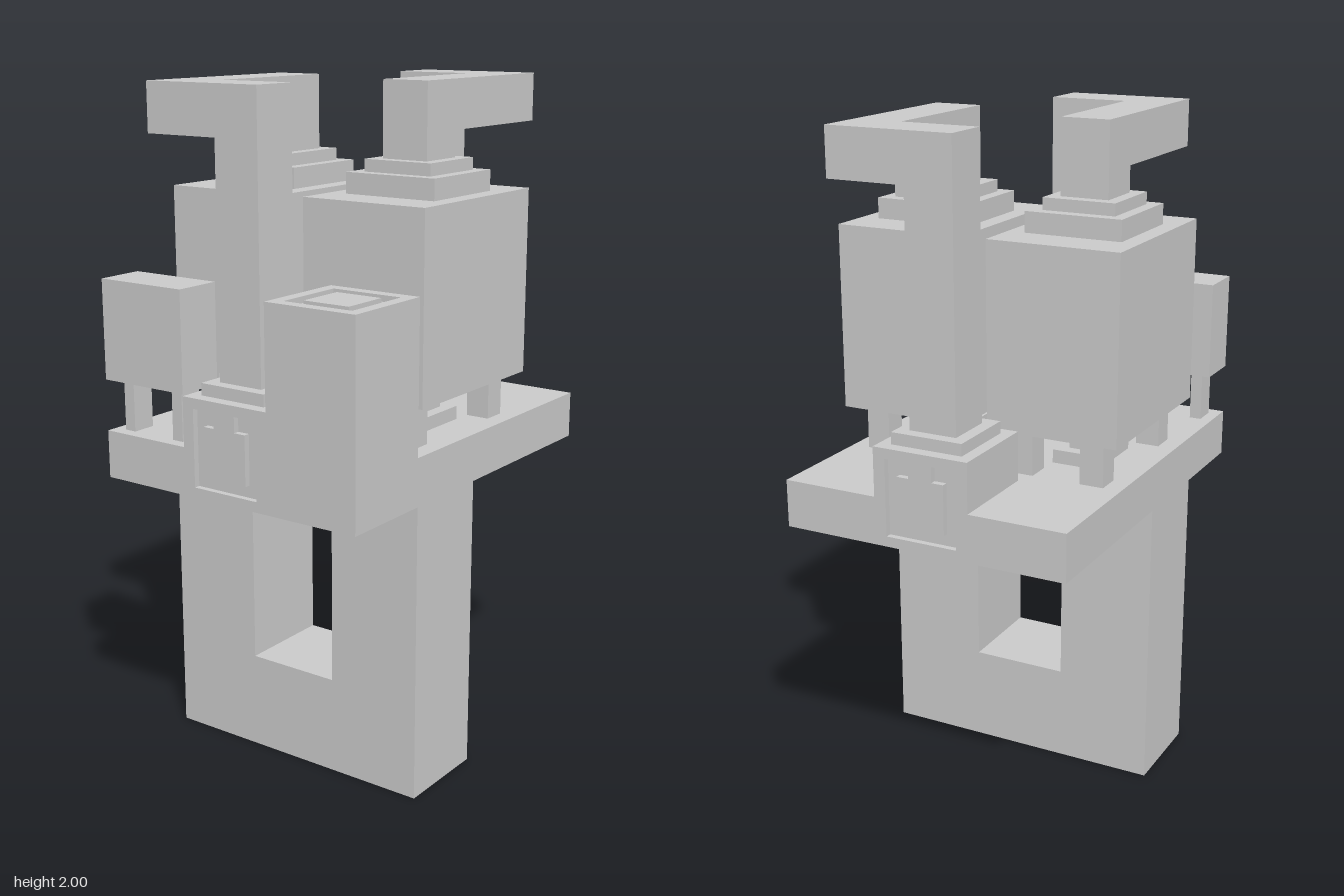
import * as THREE from 'three';

const grey = new THREE.MeshStandardMaterial({ color: 0xcccccc, flatShading: true });
const GROOVE = 0.018; // depth of the engraved lines

function add(parent, name, geometry) {
  const mesh = new THREE.Mesh(geometry, grey);
  mesh.name = name;
  parent.add(mesh);
  return mesh;
}

// box given by its limits on each axis
function box(parent, name, x0, x1, y0, y1, z0, z1) {
  const mesh = add(parent, name, new THREE.BoxGeometry(x1 - x0, y1 - y0, z1 - z0));
  mesh.position.set((x0 + x1) / 2, (y0 + y1) / 2, (z0 + z1) / 2);
  return mesh;
}

const points = (list) => list.map(([x, y]) => new THREE.Vector2(x, y));
const rect = (x0, x1, y0, y1) => [[x0, y0], [x1, y0], [x1, y1], [x0, y1]];

function extrude(outline, depth, hole) {
  const shape = new THREE.Shape(points(outline));
  if (hole) shape.holes.push(new THREE.Path(points(hole)));
  return new THREE.ExtrudeGeometry(shape, { depth, bevelEnabled: false });
}

// plan outline in (x, z), extruded downwards from height top
function slab(parent, name, outline, top, depth, hole) {
  const mesh = add(parent, name, extrude(outline, depth, hole).rotateX(Math.PI / 2));
  mesh.position.y = top;
  return mesh;
}

// tank on four legs, with stepped base and cap
function makeTank(side) {
  const tank = new THREE.Group();
  tank.name = side < 0 ? 'rightTank' : 'leftTank';
  tank.position.x = side * 0.2365;
  box(tank, 'tankBody', -0.1985, 0.1985, 1.15, 1.69, -0.272, 0.272);
  for (const x of [-0.109, 0.109]) {
    for (const z of [-0.2, 0.2]) {
      box(tank, 'tankLeg', x - 0.036, x + 0.036, 1.02, 1.15, z - 0.036, z + 0.036);
    }
  }
  // drain beneath: [half x, half z, bottom, top]
  for (const [hx, hz, y0, y1] of [
    [0.072, 0.108, 1.02, 1.06], [0.036, 0.072, 1.06, 1.11], [0.072, 0.108, 1.11, 1.15],
  ]) box(tank, 'tankDrain', -hx, hx, y0, y1, -hz, hz);
  box(tank, 'tankCollar', -0.145, 0.145, 1.69, 1.75, -0.145, 0.145);
  box(tank, 'tankUpperCollar', -0.109, 0.109, 1.75, 1.785, -0.109, 0.109);
  return tank;
}

// pedestal with engraved face, and the pipe leading from it to a tank
function makePipeUnit(name) {
  const unit = new THREE.Group();
  unit.name = name;
  const horseshoe = [
    [-0.109, 0.91], [0.109, 0.91], [0.109, 1.135], [0.036, 1.135], [0.036, 1.09], [0.072, 1.09],
    [0.072, 0.945], [-0.072, 0.945], [-0.072, 1.09], [-0.036, 1.09], [-0.036, 1.135], [-0.109, 1.135],
  ];
  const face = add(unit, 'engravedFace', extrude(rect(-0.145, 0.145, 0.88, 1.165), GROOVE, horseshoe));
  face.position.z = 0.58 - GROOVE;
  box(unit, 'pedestal', -0.145, 0.145, 1.02, 1.165, 0.29, 0.58 - GROOVE);
  box(unit, 'pedestalCap', -0.109, 0.109, 1.165, 1.2, 0.325, 0.543);
  box(unit, 'pipeRiser', -0.072, 0.072, 1.2, 1.86, 0.362, 0.507);
  slab(unit, 'pipeElbow', [
    [-0.309, -0.072], [-0.164, -0.072], [-0.164, 0.362], [0.072, 0.362], [0.072, 0.507], [-0.309, 0.507],
  ], 2, 0.14);
  box(unit, 'pipeOutlet', -0.309, -0.164, 1.785, 1.86, -0.072, 0.072);
  return unit;
}

export function createModel() {
  const model = new THREE.Group();
  model.name = 'tankMachine';

  // U-shaped handle below the platform
  add(model, 'handle', extrude([
    [-0.435, 0], [0.435, 0], [0.435, 0.88], [0.145, 0.88],
    [0.145, 0.29], [-0.145, 0.29], [-0.145, 0.88], [-0.435, 0.88],
  ], 0.29));

  // platform, notched front and back for the engraved faces
  const n = 0.58 - GROOVE;
  slab(model, 'platform', [
    [-0.435, -0.58], [-0.145, -0.58], [-0.145, -n], [0.145, -n], [0.145, -0.58], [0.435, -0.58],
    [0.435, 0.58], [0.145, 0.58], [0.145, n], [-0.145, n], [-0.145, 0.58], [-0.435, 0.58],
  ], 1.02, 0.14);

  for (const side of [-1, 1]) model.add(makeTank(side));

  // the two pipe units are half a turn apart
  const backUnit = makePipeUnit('backPipeUnit');
  backUnit.rotation.y = Math.PI;
  model.add(makePipeUnit('frontPipeUnit'), backUnit);

  // tall corner block with a square groove in its top
  box(model, 'cornerBlock', 0.145, 0.435, 1.02, 1.46 - GROOVE, 0.29, 0.58);
  slab(model, 'cornerBlockRim', rect(0.145, 0.435, 0.29, 0.58), 1.46, GROOVE, rect(0.181, 0.399, 0.326, 0.544));
  slab(model, 'cornerBlockButton', rect(0.218, 0.362, 0.362, 0.507), 1.46, GROOVE);

  // small box raised on two posts
  box(model, 'smallBox', -0.435, -0.145, 1.17, 1.46, 0.435, 0.58);
  for (const x of [-0.381, -0.2]) {
    box(model, 'smallBoxPost', x - 0.018, x + 0.018, 1.02, 1.17, 0.471, 0.544);
  }
  return model;
}
